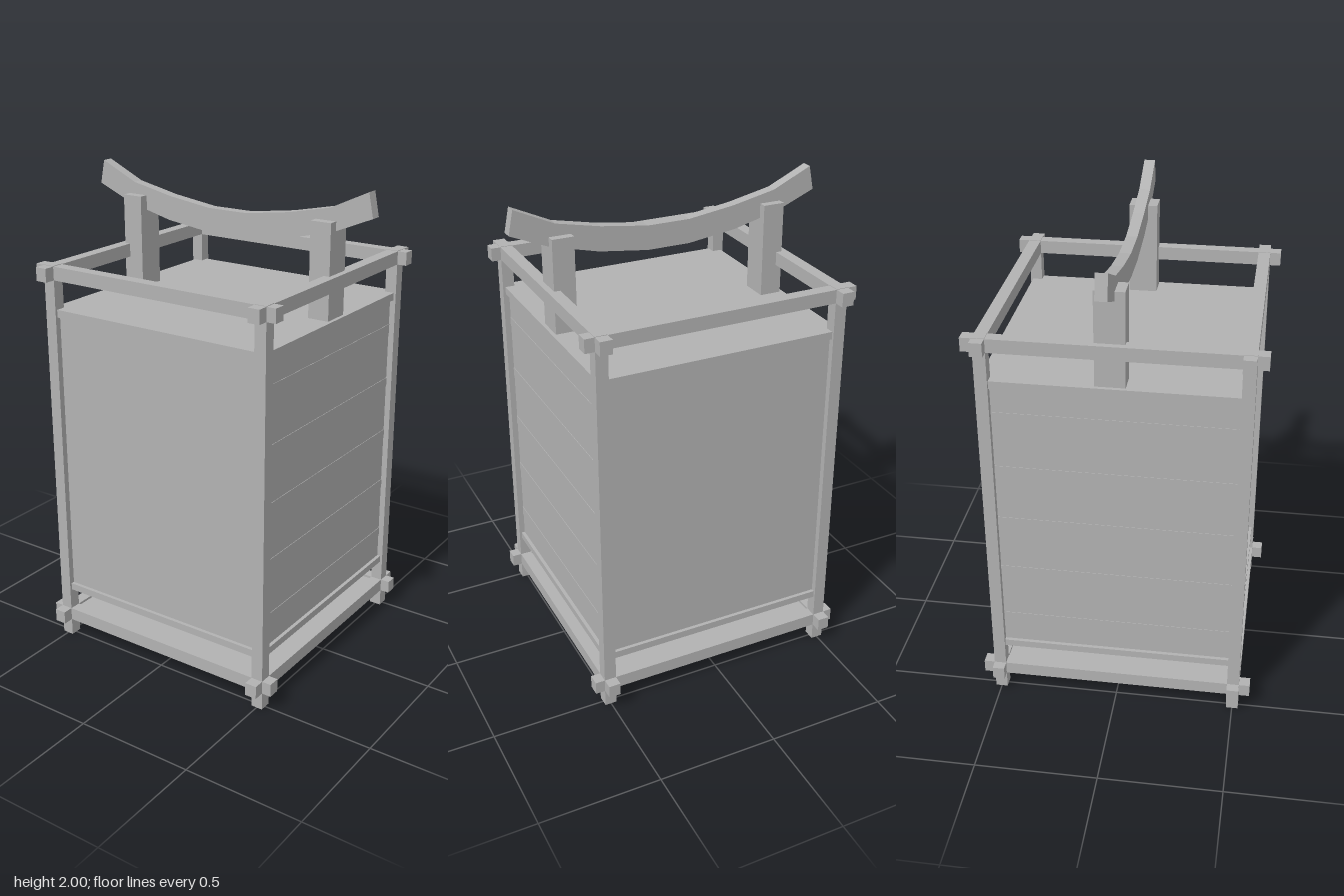
import * as THREE from 'three';

export function createModel() {
  const model = new THREE.Group();
  const grey = new THREE.MeshStandardMaterial({ color: 0xb2b2b2 });
  grey.name = 'grey';

  // Box from its size and centre
  const box = (name, w, h, d, x, y, z) => {
    const mesh = new THREE.Mesh(new THREE.BoxGeometry(w, h, d), grey);
    mesh.name = name;
    mesh.position.set(x, y, z);
    model.add(mesh);
  };

  // Corner posts
  for (const x of [-0.5, 0.5]) {
    for (const z of [-0.5, 0.5]) box('cornerPost', 0.05, 1.67, 0.05, x, 0.835, z);
  }

  // Crossing rails at the bottom and top
  for (const [y, h] of [[0.1025, 0.055], [1.64, 0.056]]) {
    for (const s of [-0.5, 0.5]) {
      box('crossRail', 1.13, h, 0.05, 0, y, s);
      box('sideRail', 0.05, h, 1.14, s, y, 0);
    }
  }

  // Floor between the lower rails
  box('floorPlate', 0.96, 0.035, 0.96, 0, 0.1025, 0);

  // Closed lantern body with a thin border above and below
  box('bodyPanels', 1.0, 1.22, 1.0, 0, 0.855, 0);
  box('lowerBorder', 1.03, 0.03, 1.03, 0, 0.235, 0);
  box('upperBorder', 1.03, 0.032, 1.03, 0, 1.473, 0);

  // Horizontal slats on the two sides
  for (const s of [-1, 1]) {
    for (let i = 0; i < 5; i++) {
      box('sideSlat', 0.004, 0.04, 0.95, s * 0.5, 0.37 + i * 0.24, 0);
    }
  }

  // Uprights that hold the handle
  for (const x of [-0.455, 0.455]) box('handleUpright', 0.09, 0.385, 0.118, x, 1.682, -0.014);

  // Curved handle, mirrored from its right half
  const upper = [[0.09, 1.858], [0.287, 1.885], [0.472, 1.924], [0.635, 2.0]];
  const lower = [[0.655, 1.902], [0.495, 1.835], [0.295, 1.785], [0.09, 1.758]];
  const half = [...lower].reverse().concat([...upper].reverse());
  const left = [...half].reverse().map(([x, y]) => [-x, y]);
  const shape = new THREE.Shape([...half, ...left].map(([x, y]) => new THREE.Vector2(x, y)));
  const handle = new THREE.Mesh(
    new THREE.ExtrudeGeometry(shape, { depth: 0.046, bevelEnabled: false }), grey);
  handle.name = 'handle';
  handle.position.z = -0.04;
  model.add(handle);

  return model;
}
